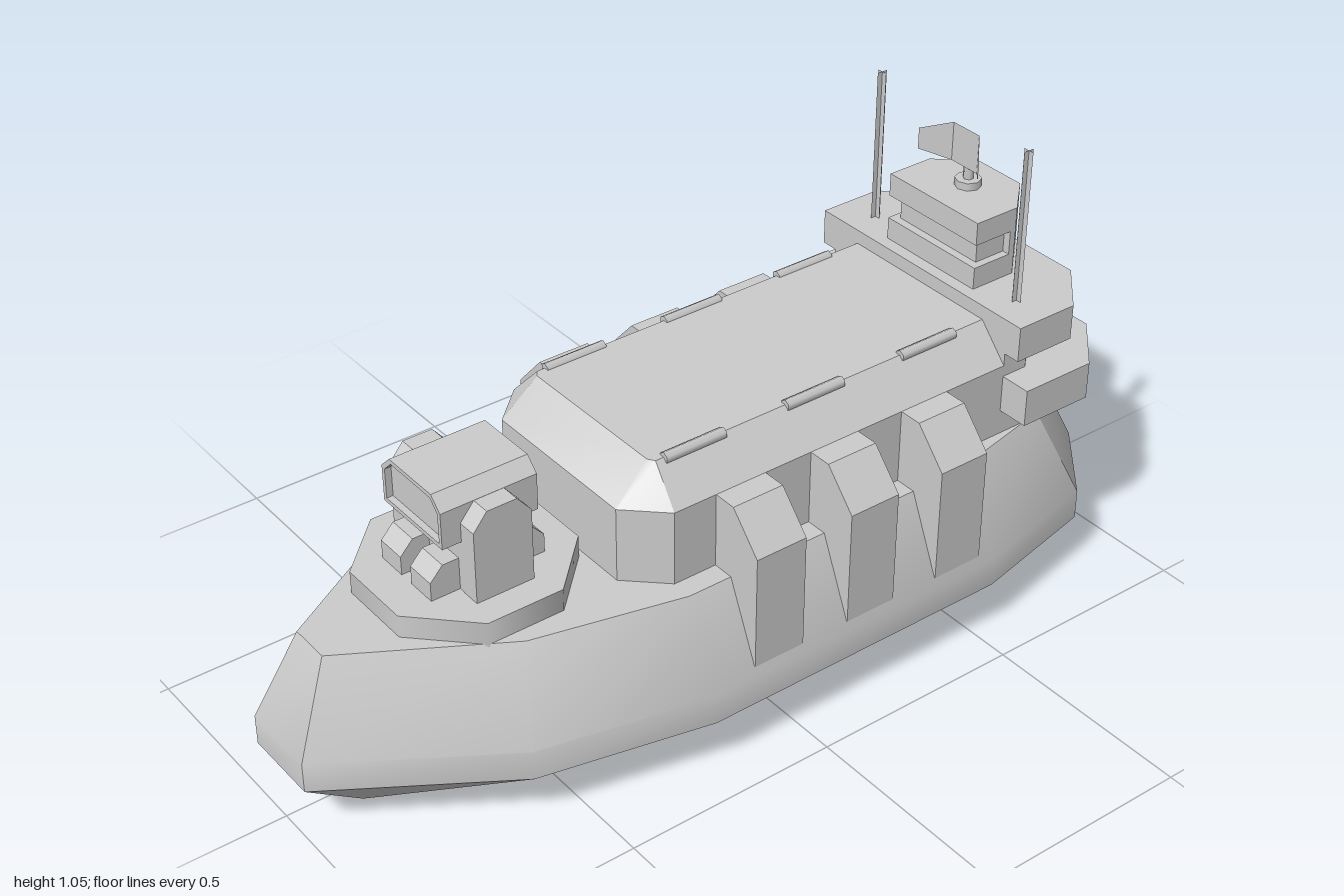
import * as THREE from 'three';
import { toCreasedNormals } from 'three/addons/utils/BufferGeometryUtils.js';

const grey = new THREE.MeshStandardMaterial({ color: 0xcccccc });
const thin = new THREE.MeshStandardMaterial({ color: 0xcccccc, side: THREE.DoubleSide });

// Full outline from its +x half, listed front to back as [x, z]
const mirrorOutline = half => [...half, ...half.map(([x, z]) => [-x, z]).reverse()];

// Skin over stacked [x, z] outlines at given heights, with flat caps
function loft(rings, heights, crease = 0.6) {
  const pos = [], idx = [], n = rings[0].length;
  rings.forEach((r, k) => r.forEach(([x, z]) => pos.push(x, heights[k], z)));
  for (let k = 0; k < rings.length - 1; k++) {
    for (let i = 0; i < n; i++) {
      const j = (i + 1) % n, a = k * n + i, b = k * n + j;
      idx.push(a, b, b + n, a, b + n, a + n);
    }
  }
  const top = (rings.length - 1) * n;
  for (let i = 1; i < n - 1; i++) idx.push(0, i + 1, i, top, top + i, top + i + 1);
  const g = new THREE.BufferGeometry();
  g.setAttribute('position', new THREE.Float32BufferAttribute(pos, 3));
  g.setIndex(idx);
  return toCreasedNormals(g, crease);
}

// Upright slab from an [x, z] outline
function slab(half, y0, y1) {
  const shape = new THREE.Shape(mirrorOutline(half).map(([x, z]) => new THREE.Vector2(x, -z)));
  return new THREE.ExtrudeGeometry(shape, { depth: y1 - y0, bevelEnabled: false })
    .rotateX(-Math.PI / 2).translate(0, y0, 0);
}

// Extrusion along z of an [x, y] profile
function extrudeZ(points, z0, z1, hole) {
  const shape = new THREE.Shape(points.map(p => new THREE.Vector2(...p)));
  if (hole) shape.holes.push(new THREE.Path(hole.map(p => new THREE.Vector2(...p))));
  return new THREE.ExtrudeGeometry(shape, { depth: z1 - z0, bevelEnabled: false }).translate(0, 0, z0);
}

const box = (x0, x1, y0, y1, z0, z1) => new THREE.BoxGeometry(x1 - x0, y1 - y0, z1 - z0)
  .translate((x0 + x1) / 2, (y0 + y1) / 2, (z0 + z1) / 2);

export function createModel() {
  const model = new THREE.Group();
  const add = (name, geometry, material = grey, parent = model) => {
    const mesh = new THREE.Mesh(geometry, material);
    mesh.name = name;
    parent.add(mesh);
    return mesh;
  };
  const group = name => {
    const g = new THREE.Group();
    g.name = name;
    model.add(g);
    return g;
  };

  // Hull: keel, chine, short vertical side, then sloping in to the deck
  const keel = mirrorOutline([[0.05, 0.85], [0.2, 0.52], [0.27, 0.2], [0.27, -0.47], [0.22, -0.73], [0.11, -0.85]]);
  const chine = mirrorOutline([[0.092, 1], [0.335, 0.62], [0.42, 0.23], [0.42, -0.53], [0.35, -0.85], [0.17, -1]]);
  const deck = mirrorOutline([[0.048, 0.91], [0.25, 0.57], [0.33, 0.23], [0.33, -0.5], [0.27, -0.78], [0.13, -0.91]]);
  add('hull', loft([keel, chine, chine, deck], [0, 0.13, 0.2, 0.4], 0.5));

  // Cabin with a chamfered roof
  const wall = mirrorOutline([[0.2, 0.315], [0.28, 0.23], [0.28, -0.68]]);
  const roof = mirrorOutline([[0.19, 0.23], [0.205, 0.22], [0.205, -0.68]]);
  add('cabin', loft([wall, wall, roof], [0.39, 0.575, 0.655], 0.5));

  // Side pods and roof rails, three per side
  const podProfile = [[0.25, 0.22], [0.413, 0.22], [0.413, 0.49], [0.335, 0.575], [0.25, 0.575]];
  const pods = group('sidePods'), rails = group('roofRails');
  for (const s of [1, -1]) {
    for (const z of [0.063, -0.182, -0.427]) {
      add('sidePod', extrudeZ(podProfile.map(([x, y]) => [s * x, y]), z - 0.063, z + 0.063), grey, pods);
    }
    for (const z of [0.125, -0.185, -0.495]) {
      const rail = add('roofRail', new THREE.CylinderGeometry(0.013, 0.013, 0.15, 6).rotateX(Math.PI / 2), grey, rails);
      rail.position.set(s * 0.205, 0.653, z);
    }
  }

  // Stern superstructure
  add('sternCore', slab([[0.28, -0.655], [0.28, -0.72], [0.18, -0.83]], 0.39, 0.62));
  add('lowerPlatform', slab([[0.355, -0.655], [0.355, -0.84], [0.235, -0.95]], 0.46, 0.548));
  add('upperPlatform', slab([[0.32, -0.655], [0.32, -0.81], [0.21, -0.91]], 0.605, 0.688));

  // Tower with a recessed window band at the front and sides
  const tower = group('tower');
  const towerPlan = [[0.14, -0.685], [0.14, -0.8], [0.065, -0.88]];
  add('towerBase', slab(towerPlan, 0.685, 0.74), grey, tower);
  add('windowBand', slab([[0.122, -0.705], [0.122, -0.785], [0.14, -0.785], [0.14, -0.8], [0.065, -0.88]], 0.74, 0.796), grey, tower);
  add('towerTop', slab(towerPlan, 0.796, 0.85), grey, tower);

  // Radar: hexagonal mount, post and folded thin dish
  const radar = group('radar');
  add('radarMount', new THREE.CylinderGeometry(0.03, 0.03, 0.02, 8), grey, radar).position.set(0, 0.858, -0.785);
  add('radarPost', new THREE.CylinderGeometry(0.012, 0.012, 0.1, 6), grey, radar).position.set(0, 0.9, -0.785);
  const dish = new THREE.PlaneGeometry(1, 1, 3, 1);
  const p = dish.attributes.position;
  for (let i = 0; i < p.count; i++) {
    const outer = Math.abs(p.getX(i)) > 0.3;
    p.setXYZ(i, Math.sign(p.getX(i)) * (outer ? 0.095 : 0.04),
      0.945 + p.getY(i) * (outer ? 0.05 : 0.092), outer ? -0.72 : -0.77);
  }
  add('radarDish', toCreasedNormals(dish, 0.3), thin, radar);

  // Antennas of two crossed blades
  for (const s of [1, -1]) {
    const antenna = group('antenna');
    antenna.position.set(s * 0.23, 0.868, -0.728);
    for (const turn of [0, Math.PI / 2]) {
      add('antennaBlade', new THREE.PlaneGeometry(0.026, 0.362), thin, antenna).rotation.y = turn;
    }
  }

  // Turret on an octagonal base
  const turret = group('turret');
  add('turretBase', new THREE.CylinderGeometry(0.233, 0.233, 0.06, 8).rotateY(Math.PI / 8).translate(0, 0.422, 0.545), grey, turret);
  add('turretNeck', box(-0.105, 0.105, 0.45, 0.58, 0.48, 0.615), grey, turret);
  const headProfile = [[-0.105, 0.575], [0.105, 0.575], [0.105, 0.66], [0.075, 0.69], [-0.075, 0.69], [-0.105, 0.66]];
  const headOpening = [[-0.095, 0.585], [-0.095, 0.655], [-0.07, 0.68], [0.07, 0.68], [0.095, 0.655], [0.095, 0.585]];
  add('turretHead', extrudeZ(headProfile, 0.435, 0.645), grey, turret);
  add('turretHeadRim', extrudeZ(headProfile, 0.645, 0.66, headOpening), grey, turret);

  // Arms holding the head, and paired rounded feet beneath it
  const armProfile = [[-0.068, 0.45], [0.068, 0.45], [0.068, 0.62], [0.035, 0.66], [-0.035, 0.66], [-0.068, 0.62]];
  const footProfile = [[-0.135, 0.45], [0.135, 0.45], [0.135, 0.495], [0.105, 0.527], [-0.105, 0.527], [-0.135, 0.495]];
  const across = (profile, x0, x1) => extrudeZ(profile, x0, x1).rotateY(Math.PI / 2).translate(0, 0, 0.548);
  for (const s of [1, -1]) {
    add('turretArm', across(armProfile, -0.0225, 0.0225), grey, turret).position.x = s * 0.128;
    add('turretFoot', across(footProfile, -0.036, 0.036), grey, turret).position.x = s * 0.054;
  }
  return model;
}
